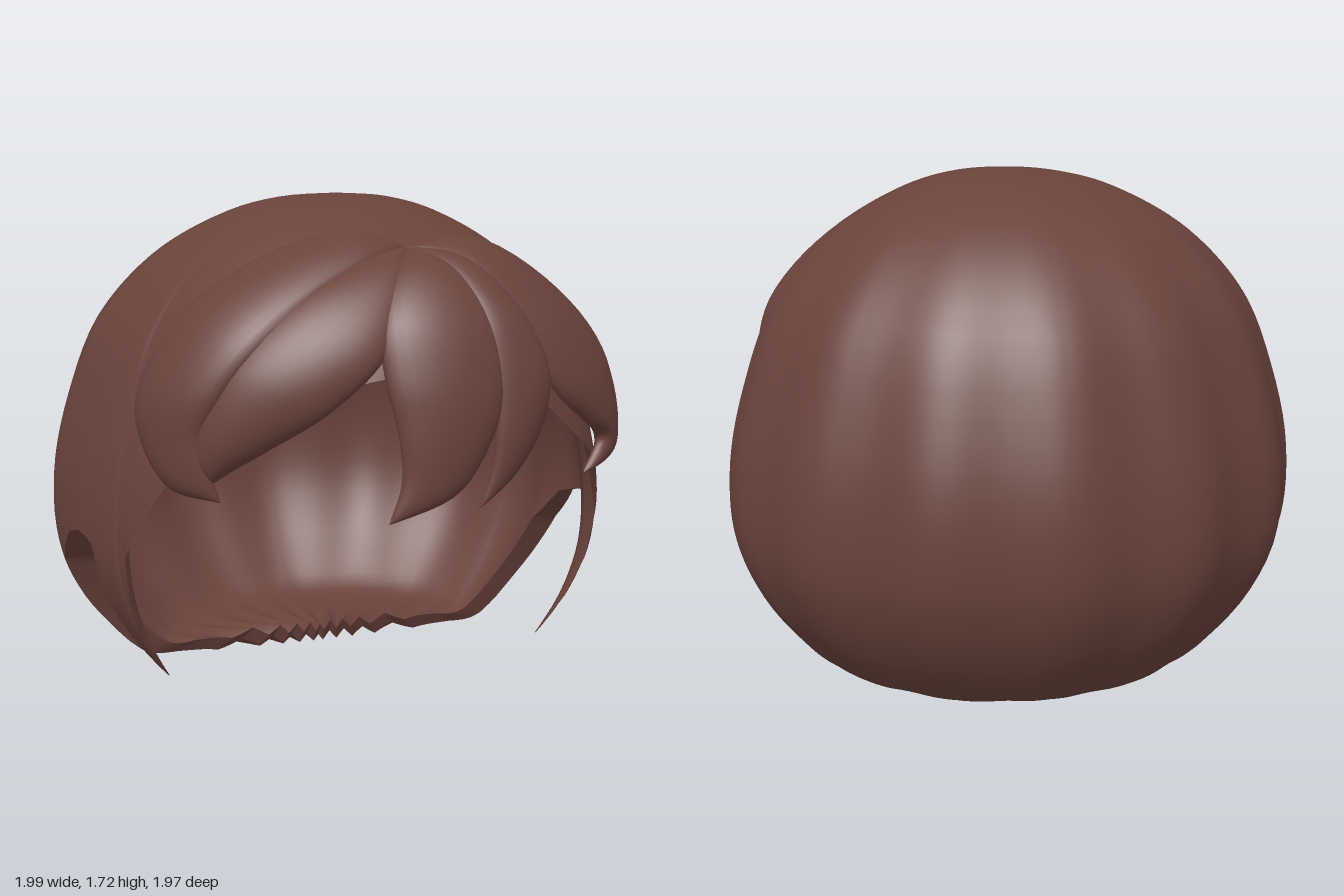
import * as THREE from 'three';

const V = (p) => new THREE.Vector3(...p);
const { lerp, smoothstep } = THREE.MathUtils;

// Linear interpolation in a table of [key, value] pairs
function table(rows, k) {
  for (let i = 1; i < rows.length; i++) {
    const [k0, v0] = rows[i - 1], [k1, v1] = rows[i];
    if (k <= k1) return lerp(v0, v1, (k - k0) / (k1 - k0));
  }
  return rows[rows.length - 1][1];
}

// Smooth surface closed around u, running along v
function loopSurface(nu, nv, point, inward = false) {
  const pos = [], idx = [];
  for (let j = 0; j <= nv; j++)
    for (let i = 0; i < nu; i++) pos.push(...point(i / nu, j / nv));
  for (let j = 0; j < nv; j++)
    for (let i = 0; i < nu; i++) {
      const k = (i + 1) % nu;
      const a = j * nu + i, b = a + nu, c = j * nu + k, d = c + nu;
      if (inward) idx.push(a, c, b, c, d, b);
      else idx.push(a, b, c, c, b, d);
    }
  const g = new THREE.BufferGeometry();
  g.setAttribute('position', new THREE.Float32BufferAttribute(pos, 3));
  g.setIndex(idx);
  g.computeVertexNormals();
  return g;
}

// Profile from crown round to the flat underside: x = radius factor, y = height
const profile = new THREE.CatmullRomCurve3([
  [0, 1.725], [0.2, 1.71], [0.38, 1.66], [0.63, 1.52], [0.83, 1.3], [0.94, 1.03],
  [1, 0.76], [0.995, 0.5], [0.92, 0.3], [0.81, 0.14], [0.7, 0.03], [0.58, 0.01], [0.4, 0.005], [0.15, 0],
].map(([r, y]) => V([r, y, 0])));

// Last profile parameter between lo and 1 that still passes the test
function lastParam(lo, test) {
  let hi = 1;
  for (let i = 0; i < 18; i++) {
    const m = (lo + hi) / 2;
    if (test(profile.getPoint(m))) lo = m; else hi = m;
  }
  return lo;
}

// Angle from the front in degrees: hem height (as far as the nape) and overall radius
const HEM = [[0, 1.22], [25, 1.15], [42, 0.95], [53, 0.85], [60, 0.7], [65, 0.58], [68, 0.12],
  [69, 0.12], [76, 0.36], [78, 0.58], [80, 0.6], [84, 0.61], [90, 0.58], [98, 0.44], [104, 0.2],
  [107, 0.06]];
const RADIUS = [[0, 0.96], [30, 0.95], [45, 0.945], [65, 0.93], [78, 0.94], [90, 0.965], [98, 1],
  [112, 1.015], [135, 0.99], [180, 0.97]];

// The nape curls under and ends on a nearly straight line across
const NAPE_Z = 0.22;
const hemParam = (deg) => deg < 107
  ? lastParam(0, (p) => p.y > table(HEM, deg))
  : lastParam(0.6, (p) => p.x > NAPE_Z / -Math.cos(deg * Math.PI / 180));

// Hair cap point: t = 0 at the crown, 1 at the hem; lining = 1 gives the inner side
function capPoint(u, t, lining) {
  const deg = Math.abs(u * 360 > 180 ? u * 360 - 360 : u * 360);
  const ang = u * Math.PI * 2;
  const back = smoothstep(deg, 95, 115), thick = smoothstep(deg, 80, 100);
  const p = profile.getPoint(hemParam(deg) * t);
  const flute = 0.014 * back * Math.cos(14 * (deg - 180) * Math.PI / 180) * Math.min(1, p.x * p.x);
  const zig = smoothstep(deg, 107, 125) * 0.035 * Math.abs(((deg / 7) % 2) - 1) * t ** 12;
  const inset = lining * lerp(0.05 * (1 - t ** 6), 0.05 + 0.07 * t ** 3, thick);
  const r = p.x * (table(RADIUS, deg) + flute) * (1 - inset);
  const y = p.y + zig + lining * lerp(-0.04 * (1 - t * t), 0.05 - 0.09 * p.y / 1.725, back);
  return [r * Math.sin(ang), y, r * Math.cos(ang)];
}

// Strip joining the hem of the cap to the hem of the lining
function rimPoint(u, v) {
  return V(capPoint(u, 1, 0)).lerp(V(capPoint(u, 1, 1)), v).toArray();
}

// Pointed lock between two edge curves (its -x edge first), swelling away from the head
function lockGeometry(edgeA, edgeB, bulge) {
  const centre = V([0, 0.85, 0]);
  const A = new THREE.CatmullRomCurve3(edgeA.map(V)), B = new THREE.CatmullRomCurve3(edgeB.map(V));
  return loopSurface(28, 32, (u, v) => {
    const a = u * Math.PI * 2, w = (1 - Math.cos(a)) / 2, s = Math.sin(a);
    const p = A.getPoint(v).sub(centre), q = B.getPoint(v).sub(centre);
    const swell = (s > 0 ? bulge : 0.03) * s * Math.sqrt(Math.max(0, Math.sin(Math.PI * v)));
    const len = lerp(p.length(), q.length(), w) + swell;
    return p.lerp(q, w).setLength(len).add(centre).toArray();
  });
}

export function createModel() {
  const group = new THREE.Group();
  const hair = new THREE.MeshStandardMaterial({ color: 0x6a433b });
  hair.name = 'brownHair';
  const add = (name, geometry) => {
    const m = new THREE.Mesh(geometry, hair);
    m.name = name;
    group.add(m);
  };

  // Cap with side locks, ear arches and curled-under nape, plus its lining and hem
  add('hairCap', loopSurface(360, 44, (u, t) => capPoint(u, t, 0)));
  add('capLining', loopSurface(360, 44, (u, t) => capPoint(u, t, 1), true));
  add('hemRim', loopSurface(360, 2, rimPoint));

  // Fringe locks fanning out from the parting
  const root = [0.05, 1.57, 0.57];
  const outerTip = [-0.6, 0.82, 0.7], innerTip = [-0.62, 0.88, 0.69];
  const midTip = [-0.14, 0.77, 0.93], secondTip = [0.16, 0.79, 0.91], leftTip = [0.62, 0.83, 0.72];

  add('rightOuterFringe', lockGeometry(
    [root, [-0.15, 1.61, 0.47], [-0.42, 1.52, 0.44], [-0.65, 1.36, 0.42], [-0.79, 1.12, 0.42],
      [-0.79, 0.98, 0.47], [-0.73, 0.85, 0.58], outerTip],
    [root, [-0.1, 1.53, 0.66], [-0.32, 1.42, 0.73], [-0.5, 1.28, 0.76], [-0.6, 1.15, 0.74],
      [-0.65, 1.03, 0.7], [-0.63, 0.91, 0.7], outerTip], 0.06));
  add('rightInnerFringe', lockGeometry(
    [root, [-0.1, 1.54, 0.62], [-0.35, 1.44, 0.67], [-0.57, 1.25, 0.69], [-0.66, 1.05, 0.67],
      [-0.66, 0.95, 0.67], innerTip],
    [root, [-0.03, 1.46, 0.76], [-0.13, 1.27, 0.87], [-0.3, 1.11, 0.86], [-0.47, 0.99, 0.78],
      [-0.57, 0.92, 0.72], innerTip], 0.06));
  add('leftOuterFringe', lockGeometry(
    [root, [0.2, 1.49, 0.73], [0.35, 1.3, 0.82], [0.45, 1.13, 0.83], [0.6, 1.01, 0.76],
      [0.69, 0.94, 0.69], leftTip],
    [root, [0.3, 1.58, 0.46], [0.6, 1.41, 0.39], [0.79, 1.2, 0.36], [0.83, 1.0, 0.41],
      [0.76, 0.86, 0.58], leftTip], 0.07));
  add('leftInnerFringe', lockGeometry(
    [root, [0.1, 1.49, 0.74], [0.17, 1.36, 0.85], [0.2, 1.2, 0.9], [0.21, 1.05, 0.92],
      [0.2, 0.92, 0.92], secondTip],
    [root, [0.2, 1.54, 0.67], [0.34, 1.38, 0.79], [0.42, 1.2, 0.83], [0.4, 1.05, 0.85],
      [0.31, 0.9, 0.87], secondTip], 0.045));
  add('middleFringe', lockGeometry(
    [root, [-0.07, 1.5, 0.71], [-0.14, 1.36, 0.83], [-0.14, 1.2, 0.89], [-0.11, 1.05, 0.92],
      [-0.1, 0.9, 0.93], midTip],
    [root, [0.16, 1.5, 0.73], [0.23, 1.35, 0.84], [0.24, 1.15, 0.9], [0.19, 1.0, 0.92],
      [0.08, 0.85, 0.93], midTip], 0.055));

  return group;
}
